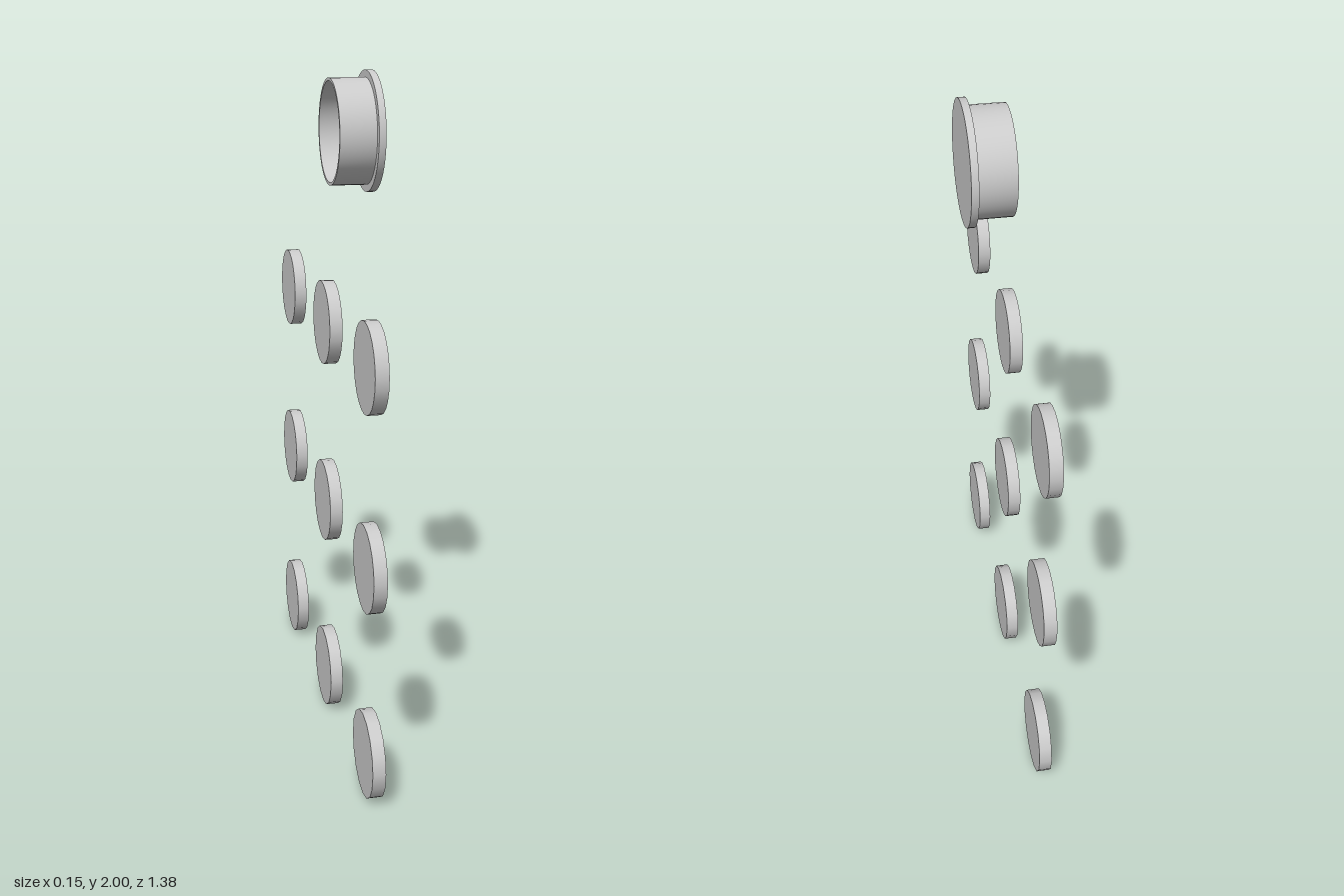
import * as THREE from 'three';
import { toCreasedNormals } from 'three/addons/utils/BufferGeometryUtils.js';

export function createModel() {
  const model = new THREE.Group();
  const material = new THREE.MeshStandardMaterial({ color: 0xcccccc });

  // Adds a round part whose axis runs along x
  function addPart(name, geometry, x, y, z) {
    geometry.rotateZ(-Math.PI / 2);
    const mesh = new THREE.Mesh(geometry, material);
    mesh.name = name;
    mesh.position.set(x, y, z);
    model.add(mesh);
  }

  // Three by three grid of flat discs, rounder towards the top
  const rows = [
    { y: 0.129, sides: 16 },
    { y: 0.696, sides: 20 },
    { y: 1.262, sides: 24 },
  ];
  for (const { y, sides } of rows) {
    for (const z of [-0.566, 0, 0.566]) {
      addPart('disc', new THREE.CylinderGeometry(0.126, 0.126, 0.038, sides), -0.059, y, z);
    }
  }

  // Hollow cap: inner floor, bore, rim, barrel, flange and closed face
  const profile = [
    [0, 0.055], [0.145, 0.055], [0.145, -0.053], [0.154, -0.053],
    [0.154, 0.055], [0.175, 0.055], [0.175, 0.076], [0, 0.076],
  ].map(([r, h]) => new THREE.Vector2(r, h));
  addPart('flangedCap', toCreasedNormals(new THREE.LatheGeometry(profile, 48), 0.6), 0, 1.825, 0);

  return model;
}
